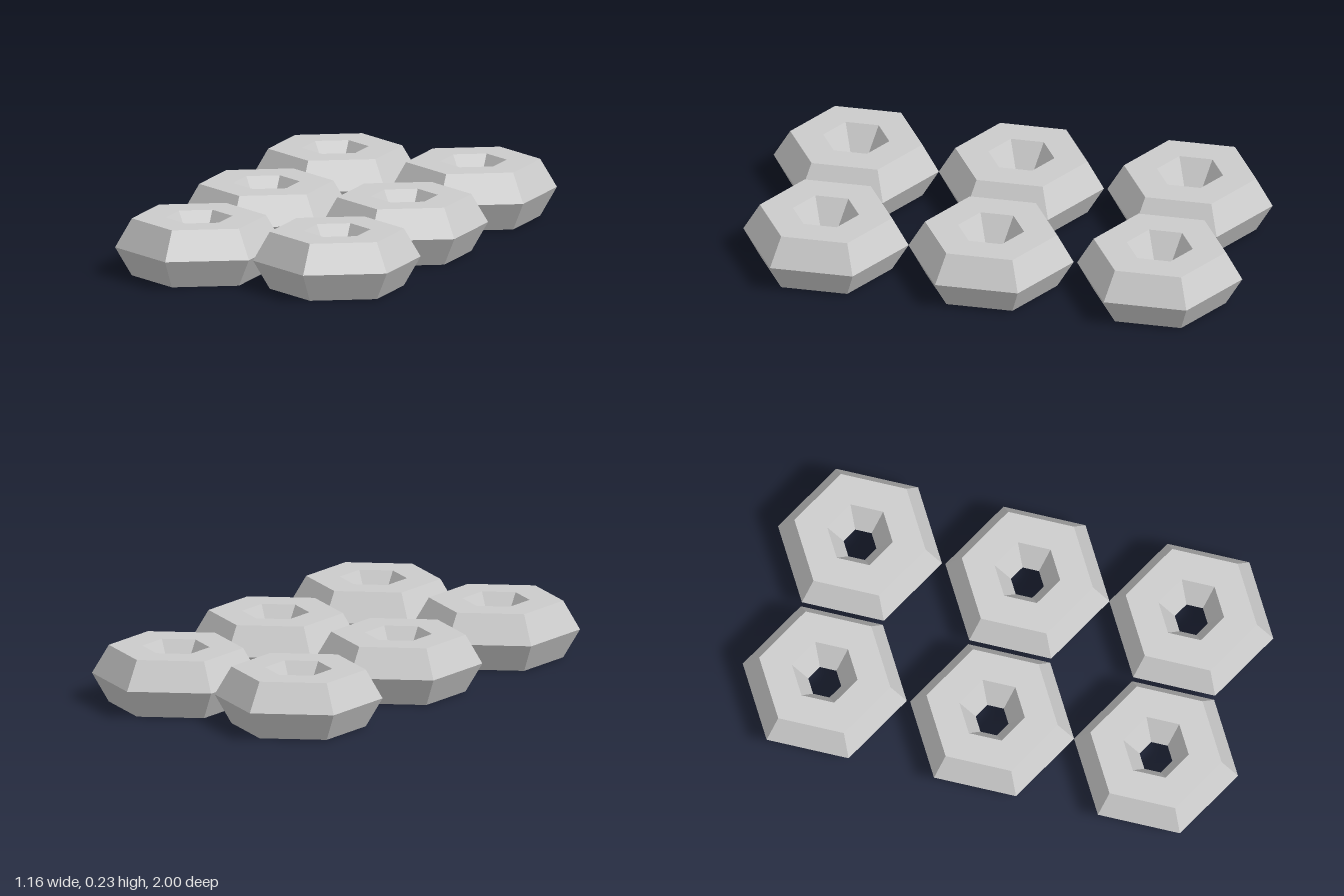
import * as THREE from 'three';

export function createModel() {
  const model = new THREE.Group();
  model.name = 'hexRingTiles';
  const material = new THREE.MeshStandardMaterial({ color: 0xcccccc, flatShading: true });

  // Six-sided ring with a six-sided section, lying flat with points towards +z and -z
  const tube = 0.1325;
  const ring = new THREE.TorusGeometry(tube * 1.5, tube, 6, 6);
  ring.rotateZ(Math.PI / 6);
  ring.rotateX(-Math.PI / 2);
  ring.translate(0, tube * Math.sin(Math.PI / 3), 0);

  // Two columns of three rings
  const rows = { back: -0.669, middle: 0.007, front: 0.669 };
  const columns = { Right: -0.2955, Left: 0.2955 };
  for (const [row, z] of Object.entries(rows)) {
    for (const [column, x] of Object.entries(columns)) {
      const mesh = new THREE.Mesh(ring, material);
      mesh.name = `${row}${column}Ring`;
      mesh.position.set(x, 0, z);
      model.add(mesh);
    }
  }
  return model;
}
